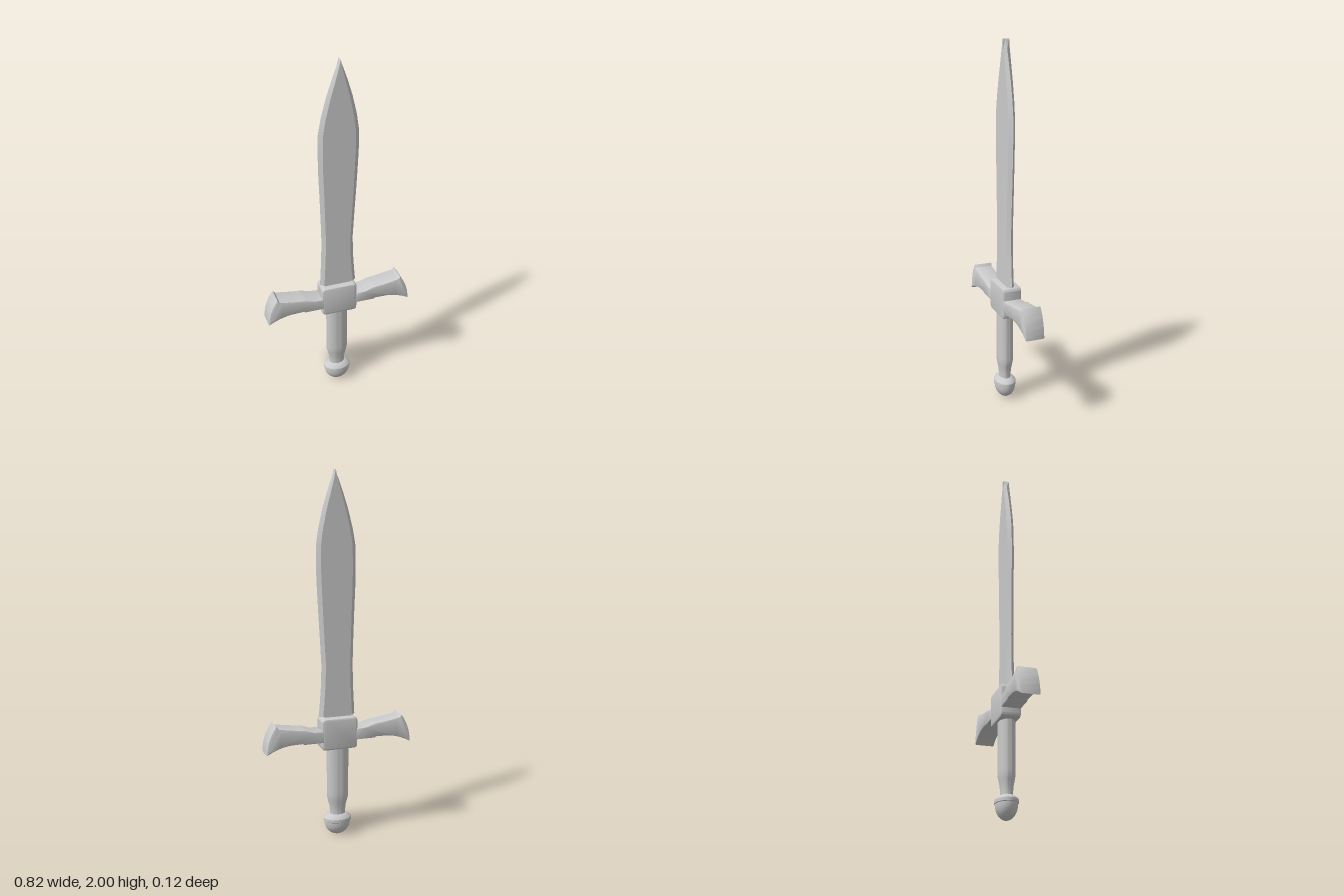
import * as THREE from 'three';
import { toCreasedNormals } from 'three/addons/utils/BufferGeometryUtils.js';

const material = new THREE.MeshStandardMaterial({ color: 0xcccccc });

function part(name, geometry) {
  const mesh = new THREE.Mesh(geometry, material);
  mesh.name = name;
  return mesh;
}

// Hexagonal blade section swept along [y, left edge, right edge, bevel width]
function bladeGeometry() {
  const rows = [
    [0.69, -0.1, 0.105, 0.02], [0.75, -0.097, 0.099, 0.02], [0.85, -0.092, 0.092, 0.02],
    [0.97, -0.089, 0.088, 0.02], [1.1, -0.092, 0.095, 0.02], [1.25, -0.097, 0.104, 0.021],
    [1.4, -0.103, 0.112, 0.022], [1.5, -0.104, 0.116, 0.022], [1.61, -0.102, 0.116, 0.022],
    [1.7, -0.086, 0.103, 0.021], [1.8, -0.06, 0.08, 0.019], [1.88, -0.034, 0.056, 0.016],
    [1.95, -0.009, 0.032, 0.01], [2.0, 0.013, 0.013, 0],
  ];
  const t = 0.018, positions = [], index = [];
  for (const [y, l, r, b] of rows) {
    positions.push(l, y, 0, l + b, y, t, r - b, y, t, r, y, 0, r - b, y, -t, l + b, y, -t);
  }
  for (let i = 0; i < rows.length - 1; i++) {
    for (let j = 0; j < 6; j++) {
      const a = i * 6 + j, b = i * 6 + (j + 1) % 6;
      index.push(a, b, b + 6, a, b + 6, a + 6);
    }
  }
  for (let j = 1; j < 5; j++) index.push(0, j + 1, j); // base cap
  const g = new THREE.BufferGeometry();
  g.setAttribute('position', new THREE.Float32BufferAttribute(positions, 3));
  g.setIndex(index);
  return toCreasedNormals(g, 0.35);
}

// Extrudes an outline across the guard's thickness with a small bevel
function guardGeometry(shape, bevel) {
  const zMin = -0.057, zMax = 0.049;
  const g = new THREE.ExtrudeGeometry(shape, {
    depth: zMax - zMin - 2 * bevel, bevelEnabled: true, bevelSize: bevel,
    bevelOffset: -bevel, bevelThickness: bevel, bevelSegments: 2, curveSegments: 10,
  });
  g.translate(0, 0, zMin + bevel);
  return toCreasedNormals(g, 0.6);
}

// Rounded block in the middle of the guard
function blockShape() {
  const x = 0.1, y0 = 0.51, y1 = 0.685, r = 0.022;
  const s = new THREE.Shape();
  s.moveTo(-x + r, y0);
  s.lineTo(x - r, y0);
  s.quadraticCurveTo(x, y0, x, y0 + r);
  s.lineTo(x, y1 - r);
  s.quadraticCurveTo(x, y1, x - r, y1);
  s.lineTo(-x + r, y1);
  s.quadraticCurveTo(-x, y1, -x, y1 - r);
  s.lineTo(-x, y0 + r);
  s.quadraticCurveTo(-x, y0, -x + r, y0);
  return s;
}

// Flared arm with a stepped top edge and a bowed end
function armShape() {
  const s = new THREE.Shape();
  s.moveTo(0.09, 0.556);
  s.lineTo(0.2, 0.556);
  s.lineTo(0.21, 0.562);
  s.lineTo(0.28, 0.56);
  s.quadraticCurveTo(0.35, 0.552, 0.41, 0.515);
  s.quadraticCurveTo(0.408, 0.605, 0.357, 0.674);
  s.lineTo(0.345, 0.659);
  s.quadraticCurveTo(0.27, 0.645, 0.195, 0.637);
  s.lineTo(0.15, 0.622);
  s.lineTo(0.09, 0.617);
  return s;
}

// Lathe with an elliptical section
function turned(points, zScale) {
  const profile = points.map(([r, y]) => new THREE.Vector2(r, y));
  const g = toCreasedNormals(new THREE.LatheGeometry(profile, 40), 0.5);
  g.scale(1, 1, zScale);
  return g;
}

export function createModel() {
  const sword = new THREE.Group();
  sword.name = 'sword';

  sword.add(part('blade', bladeGeometry()));

  // Short tang joining blade and guard
  const tang = part('tang', new THREE.BoxGeometry(0.15, 0.05, 0.03));
  tang.position.set(0, 0.675, 0);
  sword.add(tang);

  sword.add(part('guardBlock', guardGeometry(blockShape(), 0.009)));

  // Mirrored arms: the half turn in y is kept in place by re-centring z
  const armGeometry = guardGeometry(armShape(), 0.006);
  sword.add(part('leftGuardArm', armGeometry));
  const rightArm = part('rightGuardArm', armGeometry);
  rightArm.rotation.y = Math.PI;
  rightArm.position.z = -0.008;
  sword.add(rightArm);

  // Grip tapering to a narrow neck
  const grip = part('grip', turned([
    [0.043, 0.11], [0.043, 0.135], [0.046, 0.17], [0.054, 0.2],
    [0.06, 0.225], [0.061, 0.25], [0.061, 0.53],
  ], 0.72));
  grip.position.x = -0.003;
  sword.add(grip);

  // Pommel: half-round bowl under a chamfered collar
  const bowl = [];
  for (let i = 0; i <= 10; i++) {
    const a = (i / 10) * Math.PI / 2;
    bowl.push([0.073 * Math.sin(a), 0.083 - 0.08 * Math.cos(a)]);
  }
  const pommel = part('pommel', turned([
    ...bowl, [0.077, 0.086], [0.077, 0.102], [0.071, 0.111], [0.045, 0.125], [0, 0.125],
  ], 0.77));
  pommel.position.x = -0.002;
  sword.add(pommel);

  return sword;
}
